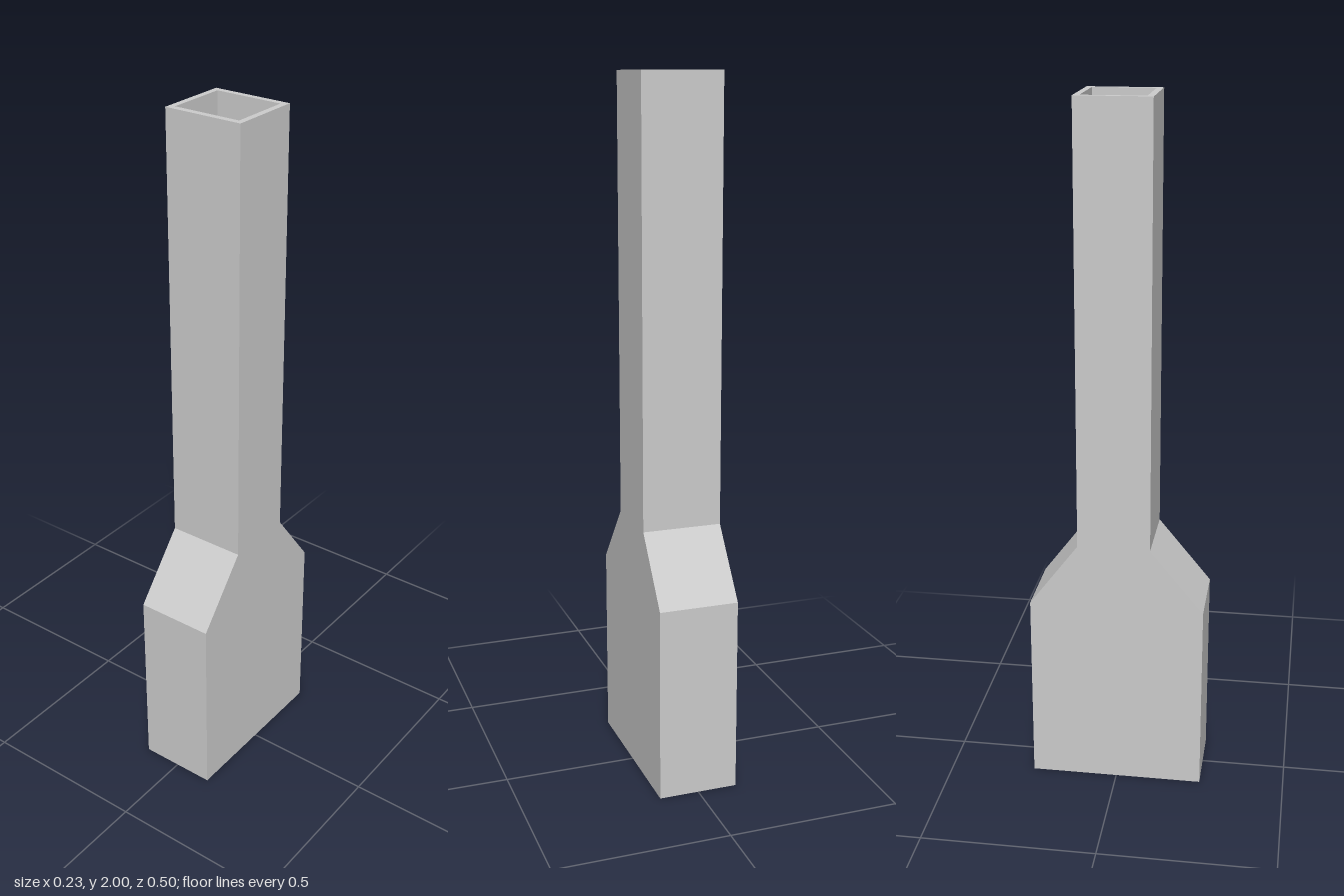
import * as THREE from 'three';

// Rectangular cross-section at height y, counter-clockwise seen from above
const ring = (y, halfX, front, back) => [
  [halfX, y, front], [halfX, y, back], [-halfX, y, back], [-halfX, y, front],
];

// Join successive rings with quads and close both ends
function loft(rings) {
  const pos = [];
  const quad = (a, b, c, d) => pos.push(...a, ...b, ...c, ...a, ...c, ...d);
  for (let i = 0; i < rings.length - 1; i++) {
    for (let k = 0; k < 4; k++) {
      const n = (k + 1) % 4;
      quad(rings[i][k], rings[i][n], rings[i + 1][n], rings[i + 1][k]);
    }
  }
  quad(...[...rings[0]].reverse());
  quad(...rings[rings.length - 1]);
  const geometry = new THREE.BufferGeometry();
  geometry.setAttribute('position', new THREE.Float32BufferAttribute(pos, 3));
  geometry.computeVertexNormals();
  return geometry;
}

export function createModel() {
  const group = new THREE.Group();
  group.name = 'chimney';
  const material = new THREE.MeshStandardMaterial({ color: 0xcccccc, flatShading: true });

  const body = new THREE.Mesh(loft([
    ring(0, 0.115, 0.252, -0.252),       // base
    ring(0.563, 0.115, 0.252, -0.252),   // top of the wide base
    ring(0.75, 0.115, 0.098, -0.111),    // end of the sloped shoulders
    ring(2, 0.115, 0.098, -0.111),       // outer rim of the stack
    ring(2, 0.098, 0.08, -0.094),        // inner rim
    ring(1.7, 0.098, 0.08, -0.094),      // flue floor
  ]), material);
  body.name = 'chimneyStack';
  group.add(body);
  return group;
}
